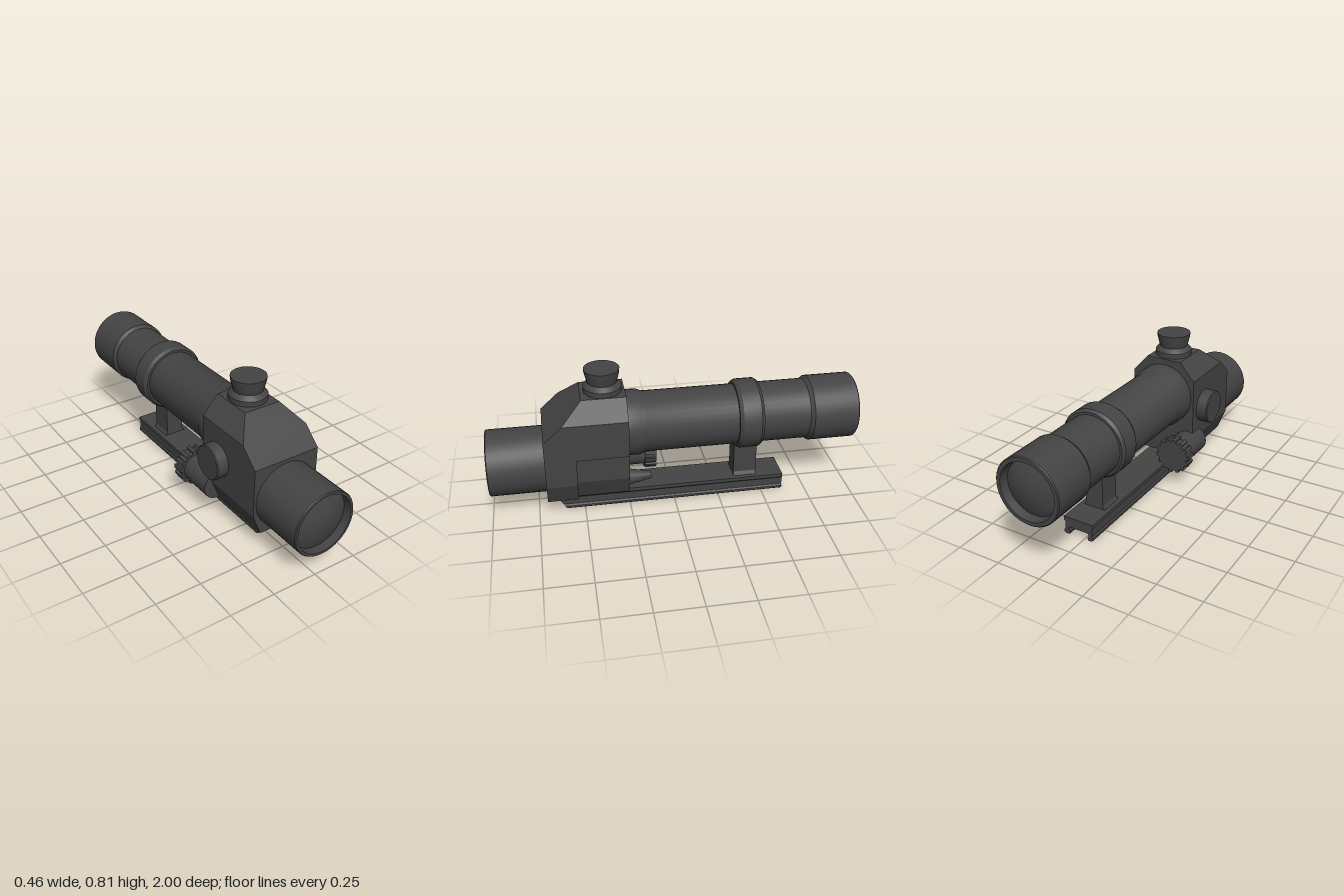
import * as THREE from 'three';
import { toCreasedNormals } from 'three/addons/utils/BufferGeometryUtils.js';

const CX = 0.035; // centre line of the optic

export function createModel() {
  const group = new THREE.Group();
  const black = new THREE.MeshStandardMaterial({ color: 0x444444 });
  black.name = 'matte black';

  const add = (name, geo, x = 0, y = 0, z = 0) => {
    const mesh = new THREE.Mesh(geo, black);
    mesh.name = name;
    mesh.position.set(x, y, z);
    group.add(mesh);
    return mesh;
  };
  // Turned part from [radius, height] pairs, axis along y
  const turned = (pts, seg = 40) => toCreasedNormals(
    new THREE.LatheGeometry(pts.map(([r, h]) => new THREE.Vector2(r, h)), seg), 0.5);
  // Turned part with its axis along z
  const turnedZ = (pts, seg) => turned(pts, seg).rotateX(Math.PI / 2);
  // Outline in x, y extruded from z0 to z1
  const slab = (pts, z0, z1) => new THREE.ExtrudeGeometry(
    new THREE.Shape(pts.map(([x, y]) => new THREE.Vector2(x, y))),
    { depth: z1 - z0, bevelEnabled: false }).translate(0, 0, z0);
  // Shallow lens dome from rim radius r at z0, bulging by h (negative faces back)
  const dome = (r, z0, h) => {
    const pts = [];
    for (let i = 0; i <= 8; i++) {
      const t = i / 8;
      pts.push([r * (1 - t), z0 + h * (1 - (1 - t) ** 2)]);
    }
    if (h < 0) pts.reverse();
    return turnedZ(pts);
  };

  // Housing: lower front block, lower rear block with a side recess, sloped top
  add('housingFront', slab([[-0.11, 0.1], [0.18, 0.1], [0.228, 0.22],
    [0.228, 0.49], [-0.158, 0.49], [-0.158, 0.22]], 0.535, 0.7));
  add('housingRear', slab([[-0.11, 0.1], [0.152, 0.1], [0.2, 0.22], [0.2, 0.372],
    [0.228, 0.372], [0.228, 0.49], [-0.158, 0.49], [-0.158, 0.22]], 0.255, 0.535));
  const top = slab([[-0.158, 0.49], [0.228, 0.49], [0.228, 0.58], [0.14, 0.68],
    [-0.07, 0.68], [-0.158, 0.58]], 0.255, 0.7);
  const p = top.attributes.position;
  for (let i = 0; i < p.count; i++) {
    if (p.getZ(i) > 0.5) p.setZ(i, 0.7 - (p.getY(i) - 0.49) * (0.21 / 0.19));
  }
  top.computeVertexNormals();
  add('housingTop', top);

  // Objective tube and lens
  add('objectiveTube', turnedZ([[0.18, 0.69], [0.18, 0.995], [0.176, 1],
    [0.163, 1], [0.16, 0.95], [0, 0.95]]), CX, 0.29);
  add('objectiveLens', dome(0.16, 0.955, 0.035), CX, 0.29);

  // Main tube with eyepiece, lens and clamp ring
  add('mainTube', turnedZ([[0, -0.95], [0.145, -0.95], [0.155, -1], [0.175, -1],
    [0.18, -0.995], [0.18, -0.75], [0.165, -0.73], [0.165, 0.16],
    [0.178, 0.19], [0.178, 0.26]]), CX, 0.47);
  add('eyepieceLens', dome(0.147, -0.955, -0.035), CX, 0.47);
  add('clampRing', turnedZ([[0.16, -0.472], [0.178, -0.472], [0.19, -0.455],
    [0.19, -0.357], [0.178, -0.338], [0.16, -0.338]]), CX, 0.47);

  // Elevation knob on top, windage knob on the side
  add('elevationKnob', turned([[0.102, 0.675], [0.102, 0.708], [0.082, 0.73],
    [0.079, 0.732], [0.092, 0.785], [0.094, 0.805], [0, 0.805]], 24), CX, 0, 0.37);
  add('windageKnob', turned([[0.095, -0.01], [0.095, 0.06], [0.09, 0.065], [0, 0.065]], 24)
    .rotateZ(Math.PI / 2), -0.158, 0.39, 0.39);

  // Battery housing with a toothed cap
  add('batteryHousing', turnedZ([[0, 0.13], [0.08, 0.13], [0.08, 0.34], [0, 0.34]], 32),
    -0.125, 0.187);
  const teeth = [];
  const count = 14;
  for (let i = 0; i < count; i++) {
    [[0, 0.09], [0.5, 0.09], [0.53, 0.103], [0.97, 0.103]].forEach(([f, r]) => {
      const a = ((i + f) / count) * Math.PI * 2;
      teeth.push([r * Math.cos(a), r * Math.sin(a)]);
    });
  }
  add('batteryCap', slab(teeth, 0.078, 0.142), -0.125, 0.187);

  // Tapered switch on the rear face
  add('switchLever', turnedZ([[0, 0.135], [0.02, 0.135], [0.045, 0.26]], 16), 0.14, 0.19);

  // Mounting rail: channel section with a raked front end
  const half = [[0.089, 0.1], [0.089, 0.08], [0.082, 0.072], [0.082, 0.03],
    [0.089, 0.02], [0.089, 0.008], [0.08, 0], [0.058, 0], [0.055, 0.015],
    [0.063, 0.025], [0.056, 0.042]];
  const section = [...half, ...half.map(([x, y]) => [-x, y]).reverse()].reverse();
  const rail = slab(section, -0.62, 0.665);
  const q = rail.attributes.position;
  for (let i = 0; i < q.count; i++) {
    if (q.getZ(i) > 0) q.setZ(i, 0.595 + 0.7 * q.getY(i));
  }
  rail.computeVertexNormals();
  add('mountingRail', rail, CX);

  // Rear support post with a slightly flared foot
  add('supportPost', slab([[-0.065, 0.098], [0.065, 0.098], [0.052, 0.12],
    [0.052, 0.32], [-0.052, 0.32], [-0.052, 0.12]], -0.47, -0.342), CX);

  return group;
}
